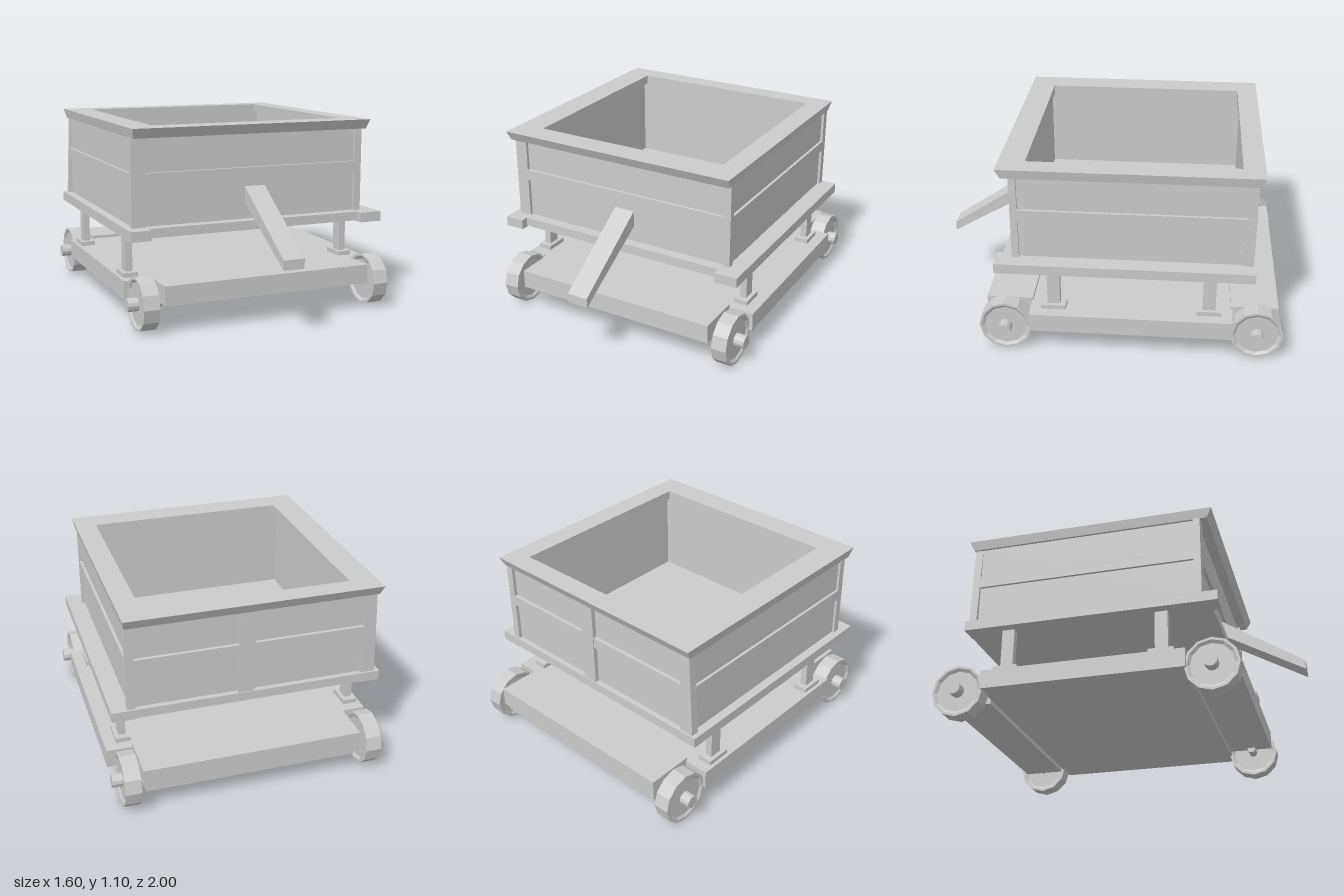
import * as THREE from 'three';

const grey = new THREE.MeshStandardMaterial({ color: 0xcccccc, flatShading: true });

export function createModel() {
  const cart = new THREE.Group();

  const add = (name, geometry, parent = cart) => {
    const mesh = new THREE.Mesh(geometry, grey);
    mesh.name = name;
    parent.add(mesh);
    return mesh;
  };

  // Box given by its extents on each axis
  const box = (name, x0, x1, y0, y1, z0, z1) => {
    const g = new THREE.BoxGeometry(x1 - x0, y1 - y0, z1 - z0);
    g.translate((x0 + x1) / 2, (y0 + y1) / 2, (z0 + z1) / 2);
    return add(name, g);
  };

  // Upright rectangular frame; outer and inner are [x0, x1, z0, z1]
  const frame = (outer, inner, y0, y1) => {
    const loop = ([x0, x1, z0, z1]) =>
      [[x0, -z1], [x1, -z1], [x1, -z0], [x0, -z0]].map(([x, y]) => new THREE.Vector2(x, y));
    const shape = new THREE.Shape(loop(outer));
    shape.holes.push(new THREE.Path(loop(inner).reverse()));
    const g = new THREE.ExtrudeGeometry(shape, { depth: y1 - y0, bevelEnabled: false });
    return g.rotateX(-Math.PI / 2).translate(0, y0, 0);
  };

  // Tub walls, whose outer faces are the sunken panels, and the floor
  add('tubWalls', frame([-0.735, 0.644, -0.79, 0.512], [-0.64, 0.59, -0.745, 0.47], 0.53, 1.045));
  box('tubFloor', -0.68, 0.618, 0.505, 0.557, -0.82, 0.575);

  // Middle rails, flush with the posts
  box('frontRail', -0.68, 0.62, 0.787, 0.85, 0.49, 0.53);
  box('backRail', -0.68, 0.62, 0.787, 0.85, -0.81, -0.77);
  box('leftRail', 0.62, 0.66, 0.787, 0.85, -0.77, 0.495);
  box('rightRail', -0.75, -0.7, 0.787, 0.85, -0.77, 0.495);

  // Corner posts; the back right one leans outwards at its foot
  box('cornerPost', 0.617, 0.66, 0.55, 1.045, 0.49, 0.53);
  box('cornerPost', 0.617, 0.66, 0.55, 1.045, -0.81, -0.765);
  box('cornerPost', -0.75, -0.675, 0.55, 1.045, 0.49, 0.53);
  const leaning = box('leaningPost', -0.737, -0.675, 0.55, 1.045, -0.81, -0.765).geometry;
  const lp = leaning.attributes.position;
  for (let i = 0; i < lp.count; i++) {
    if (lp.getY(i) < 0.8 && lp.getX(i) < -0.7) lp.setX(i, -0.759);
  }
  leaning.computeVertexNormals();
  box('backBatten', -0.045, 0.045, 0.55, 1.045, -0.815, -0.78);

  // Rim with a sloping outer edge
  const rim = frame([-0.76, 0.675, -0.845, 0.598], [-0.605, 0.552, -0.725, 0.45], 1.042, 1.097);
  const p = rim.attributes.position;
  for (let i = 0; i < p.count; i++) {
    const x = p.getX(i), z = p.getZ(i);
    const isOuter = x < -0.7 || x > 0.6;
    if (isOuter && p.getY(i) < 1.07) {
      p.setX(i, x - Math.sign(x) * 0.012);
      p.setZ(i, z - Math.sign(z) * 0.028);
    }
  }
  rim.computeVertexNormals();
  add('rim', rim);

  // Side beams under the tub
  box('leftBeam', 0.613, 0.748, 0.5, 0.557, -0.82, 0.62);
  box('rightBeam', -0.785, -0.672, 0.5, 0.557, -0.82, 0.62);

  // Legs and their feet
  for (const x of [-0.708, 0.658]) {
    for (const z of [0.3, -0.578]) {
      box('leg', x - 0.02, x + 0.02, 0.245, 0.51, z - 0.036, z + 0.036);
      box('foot', x - 0.042, x + 0.042, 0.24, 0.273, z - 0.07, z + 0.07);
    }
  }

  // Undercarriage
  box('deck', -0.77, 0.767, 0.14, 0.247, -0.71, 0.435);
  box('frontCrossbeam', -0.625, 0.62, 0.155, 0.265, 0.43, 0.695);
  box('backCrossbeam', -0.625, 0.62, 0.155, 0.265, -0.97, -0.7);
  box('backLowerBeam', -0.61, 0.605, 0.115, 0.16, -0.95, -0.71);

  // Handle: tapered bar sloping down from the front
  const side = new THREE.Shape([
    [-0.51, 0.743], [-0.51, 0.65], [-1, 0.367], [-1, 0.422],
  ].map(([x, y]) => new THREE.Vector2(x, y)));
  const handle = new THREE.ExtrudeGeometry(side, { depth: 0.123, bevelEnabled: false });
  add('handle', handle.rotateY(Math.PI / 2).translate(-0.078, 0, 0));

  // Wheels: square tyre with a dished face, thin axle inside and hub outside
  const profile = [
    [0, -0.034], [0.12, -0.034], [0.136, -0.045], [0.15, -0.045],
    [0.15, 0.045], [0.136, 0.045], [0.12, 0.034], [0, 0.034],
  ];
  // Separate bands keep every edge of the wheel hard
  const wheelGeometry = new THREE.LatheGeometry(
    profile.map(([x, y]) => new THREE.Vector2(x, y)), 12).rotateZ(Math.PI / 2);
  const rod = (name, radius, x0, x1, parent) => {
    const g = new THREE.CylinderGeometry(radius, radius, Math.abs(x1 - x0), 12);
    add(name, g.rotateZ(Math.PI / 2).translate((x0 + x1) / 2, 0, 0), parent);
  };
  const wheel = (name, x, z, hubEnd) => {
    const group = new THREE.Group();
    group.name = name;
    group.position.set(0, 0.15, z);
    add('tyre', wheelGeometry, group).position.x = x;
    rod('axle', 0.025, Math.sign(x) * 0.58, x, group);
    rod('hub', 0.038, x, hubEnd, group);
    cart.add(group);
  };
  wheel('frontLeftWheel', 0.7, 0.572, 0.797);
  wheel('frontRightWheel', -0.706, 0.572, -0.8);
  wheel('backLeftWheel', 0.682, -0.85, 0.774);
  wheel('backRightWheel', -0.706, -0.85, -0.8);

  return cart;
}
